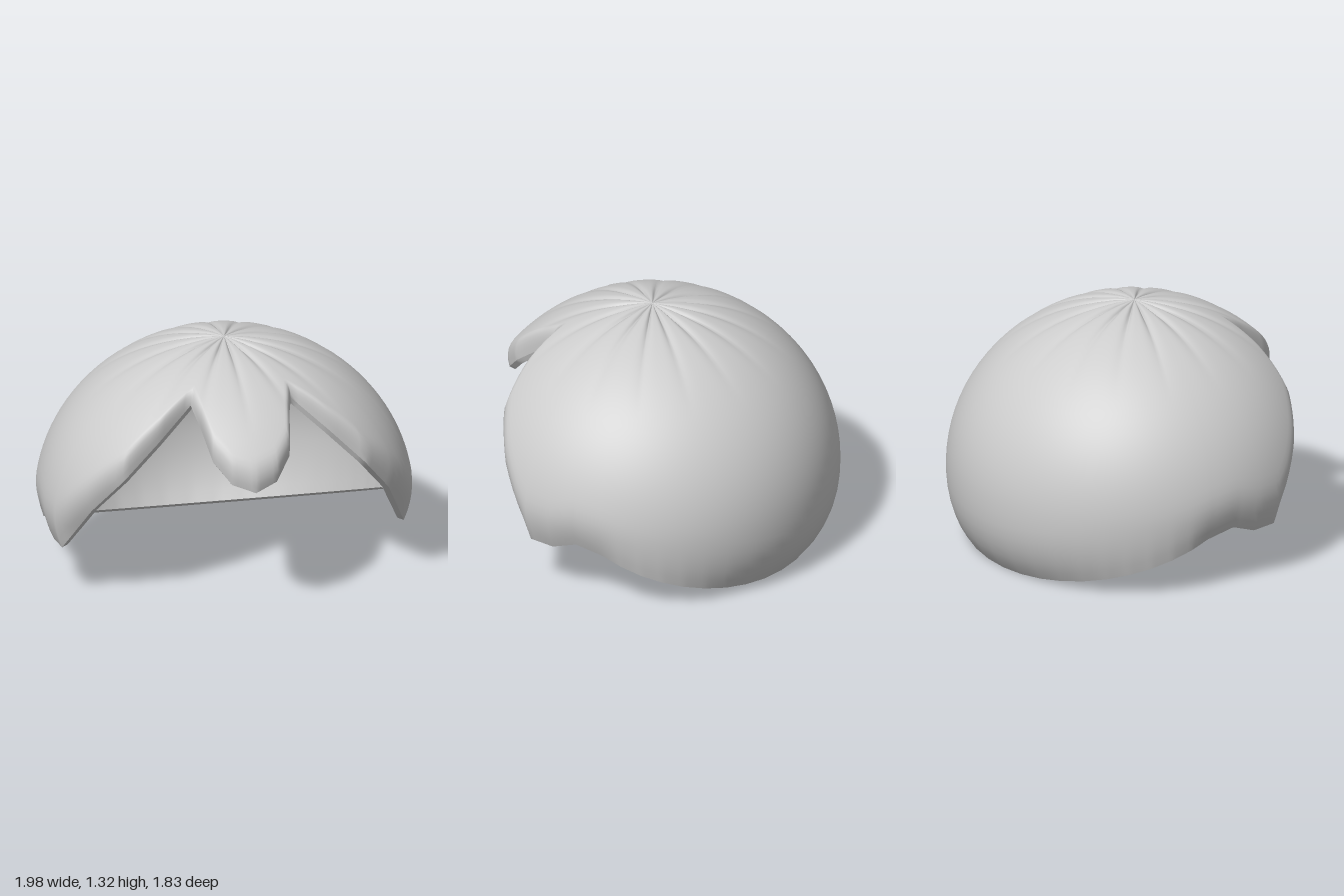
import * as THREE from 'three';

// Right half of the lower edge, from the fringe tip round to behind the ear: x, y, z
const EDGE = [
  [0, 0.76, 0.90], [0.12, 0.80, 0.86], [0.205, 0.90, 0.77], [0.235, 1.02, 0.61],
  [0.27, 1.12, 0.50], [0.46, 0.95, 0.575], [0.65, 0.76, 0.60], [0.80, 0.56, 0.49],
  [0.92, 0.285, 0.30], [0.935, 0.28, 0.16], [0.94, 0.33, 0.02], [0.92, 0.29, -0.13],
];
const CY = 0.4, CZ = 0.07;   // centre of the dome
const ROWS = 28, SUB = 5;

const radiusY = (y) => (y > 0 ? 0.92 : 1.1);
const radiusZ = (z) => (z > 0 ? 0.98 : 0.99);

// Full closed edge loop, finely subdivided
function edgeLoop() {
  const half = EDGE.map((p) => new THREE.Vector3(...p));
  for (let i = 1; i <= 10; i++) {            // nape sweeps down to the back
    const a = (i / 10) * Math.PI / 2;
    half.push(new THREE.Vector3(0.92 * Math.cos(a), 0.29 - 0.286 * Math.sin(a), -0.13 - 0.66 * Math.sin(a)));
  }
  const mirrored = half.slice(1, -1).reverse().map((p) => new THREE.Vector3(-p.x, p.y, p.z));
  const loop = [...half, ...mirrored];
  return loop.flatMap((p, i) => {
    const q = loop[(i + 1) % loop.length];
    return Array.from({ length: SUB }, (_, k) => p.clone().lerp(q, k / SUB));
  });
}

// Each meridian runs from the crown to the edge and curls in at the end
function meridian(edge, inner) {
  const d = new THREE.Vector3(edge.x, edge.y - CY, edge.z - CZ);
  d.set(d.x, d.y / radiusY(d.y), d.z / radiusZ(d.z));
  const s = d.length();
  const theta = Math.acos(d.y / s), phi = Math.atan2(d.x, d.z);
  const points = [];
  for (let i = 0; i <= ROWS; i++) {
    const t = Math.pow(i / ROWS, 0.85);
    const a = theta * t * (inner ? 0.995 : 1);
    const w = Math.max(0, (t - 0.84) / 0.16) ** 2;
    let r = inner ? THREE.MathUtils.lerp(0.93, s - 0.035, w) : THREE.MathUtils.lerp(1, s, w);
    // gathered pleats fading away from the crown
    if (!inner) {
      const fade = Math.min(1, a / 0.15) * Math.max(0, 1 - a / 0.85) ** 1.5;
      r -= 0.03 * fade * Math.pow(1 - Math.abs(Math.sin(phi * 8)), 2);
    }
    const y = Math.cos(a), z = Math.sin(a) * Math.cos(phi);
    points.push(new THREE.Vector3(
      r * Math.sin(a) * Math.sin(phi), CY + r * y * radiusY(y), CZ + r * z * radiusZ(z)));
  }
  return points;
}

// Closed skin from columns of points
function skin(columns, flip) {
  const n = columns.length, m = columns[0].length;
  const index = [];
  for (let j = 0; j < n; j++) {
    for (let i = 0; i < m - 1; i++) {
      const k = (j + 1) % n;
      const a = j * m + i, b = a + 1, d = k * m + i, c = d + 1;
      if (flip) index.push(a, c, b, a, d, c);
      else index.push(a, b, c, a, c, d);
    }
  }
  const g = new THREE.BufferGeometry().setFromPoints(columns.flat());
  g.setIndex(index);
  g.computeVertexNormals();
  return g;
}

export function createModel() {
  const group = new THREE.Group();
  group.name = 'hairCap';
  const grey = new THREE.MeshStandardMaterial({ color: 0xcccccc });
  grey.name = 'light grey';

  const add = (name, geometry) => {
    const mesh = new THREE.Mesh(geometry, grey);
    mesh.name = name;
    group.add(mesh);
  };

  const loop = edgeLoop();
  const outer = loop.map((p) => meridian(p, false));
  const inner = loop.map((p) => meridian(p, true));
  add('outerHair', skin(outer, false));
  add('innerLining', skin(inner, true));
  add('edgeLip', skin(outer.map((c, j) => [c[ROWS], inner[j][ROWS]]), false));
  return group;
}
